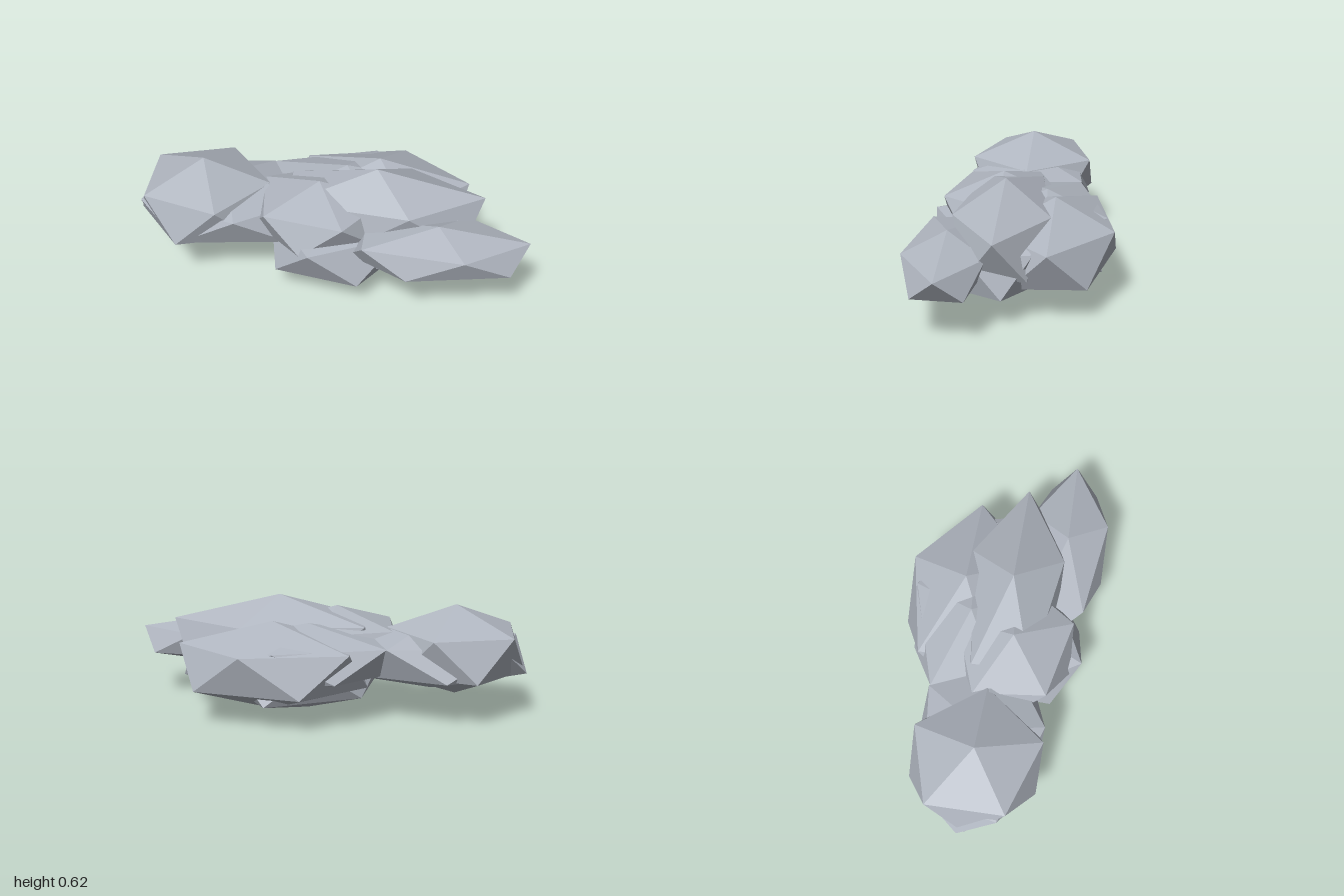
import * as THREE from 'three';
import { ConvexGeometry } from 'three/addons/geometries/ConvexGeometry.js';

// Each puff is a stretched icosahedron standing on its tip:
// c = centre, r = half height, a and b = two neighbouring corners
// of its upper ring, as [x, z] offsets from the centre.
const PUFFS = [
  { name: 'leftPuff',       c: [-0.62, 0.355, -0.30], r: 0.245, a: [-0.22, -0.30], b: [0.21, -0.29] },
  { name: 'leftInnerPuff',  c: [-0.50, 0.325, -0.26], r: 0.19,  a: [0.47, 0.20],   b: [-0.02, 0.35] },
  { name: 'crownPuff',      c: [0.28, 0.363, 0.05],   r: 0.262, a: [0.56, 0.18],   b: [0.10, 0.30] },
  { name: 'middlePuff',     c: [-0.03, 0.37, 0.0],    r: 0.19,  a: [-0.33, 0.12],  b: [0.05, 0.34] },
  { name: 'lowerPuff',      c: [0.14, 0.225, -0.04],  r: 0.225, a: [0.45, -0.20],  b: [0.05, -0.44] },
  { name: 'backPuff',       c: [0.36, 0.29, -0.20],   r: 0.24,  a: [0.48, 0.16],   b: [0.22, -0.26] },
  { name: 'frontPuff',      c: [0.53, 0.31, 0.40],    r: 0.145, a: [0.465, 0.14],  b: [0.07, 0.245] },
  { name: 'lowerRightPuff', c: [0.47, 0.27, 0.16],    r: 0.235, a: [-0.33, -0.02], b: [-0.08, -0.28] },
  { name: 'backInnerPuff',  c: [0.17, 0.33, -0.20],   r: 0.18,  a: [-0.36, -0.28], b: [0.24, -0.27] },
];

function puffGeometry({ r, a, b }) {
  const step = (Math.PI * 2) / 5;
  const ringY = r / Math.sqrt(5);
  // Second axis of the sheared ring, so corner 0 is a and corner 1 is b
  const d = [0, 1].map((i) => (b[i] - Math.cos(step) * a[i]) / Math.sin(step));
  const points = [new THREE.Vector3(0, r, 0), new THREE.Vector3(0, -r, 0)];
  for (let k = 0; k < 5; k++) {
    const cos = Math.cos(k * step), sin = Math.sin(k * step);
    const corner = new THREE.Vector3(cos * a[0] + sin * d[0], ringY, cos * a[1] + sin * d[1]);
    points.push(corner, corner.clone().negate()); // upper ring and its opposite
  }
  return new ConvexGeometry(points);
}

export function createModel() {
  const group = new THREE.Group();
  group.name = 'cloud';
  const cloudGrey = new THREE.MeshStandardMaterial({ color: 0xb0b6c0, flatShading: true });
  cloudGrey.name = 'cloudGrey';

  for (const puff of PUFFS) {
    const mesh = new THREE.Mesh(puffGeometry(puff), cloudGrey);
    mesh.name = puff.name;
    mesh.position.set(...puff.c);
    group.add(mesh);
  }
  return group;
}
